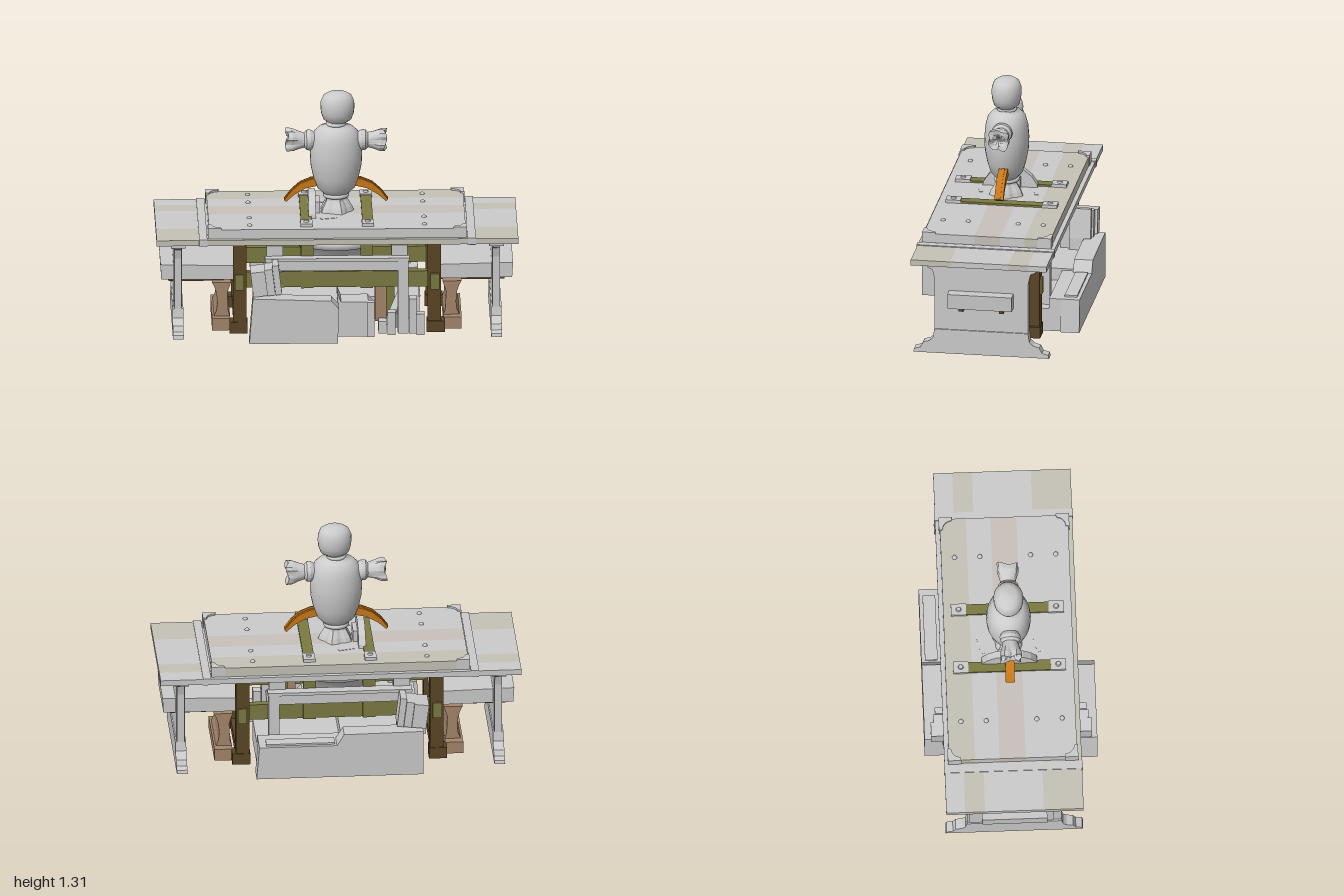
import * as THREE from 'three';

const COLORS = {
  grey: 0xcccccc, paleOlive: 0xc5c3b7, paleBrown: 0xc9c0ba,
  olive: 0x7c7a42, brown: 0xa4866c, dark: 0x5a4626, orange: 0xc87818,
};

function mat(color, flat, side = THREE.FrontSide) {
  return new THREE.MeshStandardMaterial({ color: COLORS[color], flatShading: flat, side });
}

export function createModel() {
  const root = new THREE.Group();
  root.name = 'workTable';

  const add = (name, geo, color = 'grey', flat = true, side) => {
    const m = new THREE.Mesh(geo, mat(color, flat, side));
    m.name = name;
    root.add(m);
    return m;
  };
  // Box given by its min and max on each axis
  const box = (name, x0, x1, y0, y1, z0, z1, color) => {
    const m = add(name, new THREE.BoxGeometry(x1 - x0, y1 - y0, z1 - z0), color);
    m.position.set((x0 + x1) / 2, (y0 + y1) / 2, (z0 + z1) / 2);
    return m;
  };
  // Outline in x, y extruded from z0 to z1
  const slab = (name, pts, z0, z1, color) => {
    const shape = new THREE.Shape(pts.map(p => new THREE.Vector2(p[0], p[1])));
    const geo = new THREE.ExtrudeGeometry(shape, { depth: z1 - z0, bevelEnabled: false });
    geo.translate(0, 0, z0);
    return add(name, geo, color);
  };
  // Outline in z, y extruded from x0 to x1
  const sideSlab = (name, pts, x0, x1, color) => {
    const m = slab(name, pts.map(p => [-p[0], p[1]]), x0, x1, color);
    m.geometry.rotateY(Math.PI / 2);
    return m;
  };
  const lathe = (name, pts, seg, flat = false) =>
    add(name, new THREE.LatheGeometry(pts.map(p => new THREE.Vector2(...p)), seg), 'grey', flat, THREE.DoubleSide);
  const mirrorZ = pts => [...pts, ...pts.slice().reverse().map(p => [-p[0], p[1]])];
  const both = [-1, 1];
  // Box mirrored to either side in x
  const pair = (name, x0, x1, ...rest) => {
    box(name, x0, x1, ...rest);
    box(name, -x1, -x0, ...rest);
  };

  // Table top planks
  [[-.38, -.275, 'grey'], [-.275, -.165, 'paleOlive'], [-.165, .16, 'grey'], [.16, .38, 'paleOlive']]
    .forEach(([a, b, c]) => box('tablePlank', -1, 1, .54, .572, a, b, c));
  [[-.355, -.21, 'paleOlive'], [-.21, -.075, 'grey'], [-.075, .07, 'paleBrown'], [.07, .355, 'grey']]
    .forEach(([a, b, c]) => box('upperPlank', -.71, .71, .572, .625, a, b, c));
  pair('crossBatten', .72, .765, .538, .577, -.384, .384);
  pair('battenUnderside', .72, .765, .522, .54, -.335, .335);

  // Corner brackets, rivets and straps
  const bracket = new THREE.Shape();
  bracket.moveTo(0, 0);
  bracket.lineTo(.075, 0);
  bracket.lineTo(.07, .02);
  bracket.quadraticCurveTo(.025, .025, .02, .07);
  bracket.lineTo(0, .075);
  for (const sx of both) for (const sz of both) {
    const corner = add('cornerBracket', new THREE.ExtrudeGeometry(bracket, { depth: .06, bevelEnabled: false, curveSegments: 5 }));
    // turn each bracket so that its right angle sits on the board corner
    const turn = sx > 0 ? (sz > 0 ? Math.PI : Math.PI / 2) : (sz > 0 ? -Math.PI / 2 : 0);
    corner.rotation.set(Math.PI / 2, 0, turn);
    corner.position.set(sx * .716, .635, sz * .361);
    for (const z of [.14, .28]) {
      const rivet = add('rivet', new THREE.SphereGeometry(.014, 10, 4, 0, Math.PI * 2, 0, Math.PI / 2), 'grey', false);
      rivet.position.set(sx * .483, .623, sz * z);
    }
    const x = sx * .17, z = sz * .27;
    box('strapCap', x - .033, x + .033, .625, .643, z - .042, z + .042);
    const bolt = add('strapBolt', new THREE.CylinderGeometry(.012, .016, .01, 10));
    bolt.position.set(x, .647, z);
  }
  pair('topStrap', .14, .2, .62, .636, -.3, .3, 'olive');
  for (const s of both) {
    const slot = box('slot', -.09, 0, .62, .627, s * .155 - .01, s * .155 + .01);
    slot.rotation.y = .25;
  }

  // End trestles with feet, through beams and the rails beneath them
  const panel = mirrorZ([[.345, .54], [.345, .52], [.31, .515], [.3, .495], [.275, .485], [.262, .43], [.262, .08]]);
  const foot = mirrorZ([[.262, .14], [.27, .09], [.29, .07], [.325, .06], [.34, .03], [.375, .02], [.38, 0]]);
  for (const s of both) {
    const c = s * .88;
    sideSlab('trestlePanel', panel, c - .02, c + .02);
    sideSlab('trestleFoot', foot, c - .03, c + .03);
    box('trestleInset', c - .023, c + .023, .14, .52, -.25, .22);
    slab('throughBeam', [[s * .52, .28], [s * .97, .285], [s * .975, .37], [s * .52, .36]], -.18, .18);
  }
  pair('trestleCap', .84, .92, .515, .54, -.34, .34);
  for (const z of [-.115, .11]) pair('beamRail', .57, .93, .257, .285, z - .012, z + .012, 'dark');

  // Dark posts, sills and curved beam supports
  pair('postSill', .51, .57, .005, .06, -.26, .26, 'dark');
  for (const sz of both) {
    const z = sz * .238;
    pair('post', .5, .575, 0, .51, z - .037, z + .037, 'dark');
    pair('postFoot', .495, .595, 0, .065, z - .042, z + .042, 'dark');
    pair('postPeg', .515, .565, .25, .34, sz * .275 - .012, sz * .275 + .012, 'olive');
  }
  for (const s of both) {
    slab('curvedSupport', [[.585, .262], [.69, .262], [.678, .24], [.665, .2], [.66, .14], [.665, .1], [.68, .065],
      [.59, .065], [.6, .1], [.605, .2]].map(p => [s * p[0], p[1]]), -.17, .17, 'brown');
  }
  pair('supportFoot', .59, .69, 0, .068, -.22, .22, 'brown');

  // Olive under-frame
  for (const s of both) {
    box('sideRail', -.5, .5, .255, .345, s * .225 - .02, s * .225 + .02, 'olive');
    pair('hangingStrap', .13, .2, .25, .54, s * .235 - .015, s * .235 + .015, 'olive');
    pair('bearerBlock', .3, .39, .44, .5, s * .23 - .03, s * .23 + .03);
  }
  pair('crossBearer', .13, .2, .45, .54, -.25, .25, 'olive');
  box('olivePost', .26, .32, .06, .36, .1, .16, 'olive');
  box('brownPost', .21, .275, .05, .36, .18, .23, 'brown');
  box('topRunner', -.4, .4, .5, .54, -.22, .22);

  // Round tub under the table
  lathe('tub', [[.001, .3], [.08, .31], [.15, .345], [.2, .41], [.22, .46], [.25, .465], [.25, .5], [.2, .52]], 28);

  // Low chests on the floor, joined by a lower base
  slab('frontChest', [[-.49, 0], [0, 0], [.005, .2], [-.035, .245], [-.47, .26]], .375, .475);
  box('chestBase', -.45, 0, 0, .2, -.38, .375);
  box('rearBase', 0, .46, 0, .13, -.38, .03);
  slab('backChest', [[-.45, 0], [.475, 0], [.46, .19], [.03, .19], [-.01, .255], [-.45, .26]], -.48, -.375);
  box('chestLid', .04, .42, .185, .2, -.46, -.39);
  box('chestShelf', -.01, .46, .13, .19, -.45, -.31);

  // Rail frames inside both long sides with leaning books beside them
  for (const s of both) {
    const z = s * .275;
    box('frameRail', -.39, .39, .365, .425, z - .022, z + .022);
    box('frameTop', -.4, .4, .42, .438, z - .03, z + .03);
    pair('frameLeg', .335, .395, 0, .42, z - .028, z + .028);
    [[-.435, .08, .14, .445], [-.375, .045, .15, .43], [-.335, .035, .17, .42]].forEach(([x, w, h, depth]) => {
      const zc = s * (.3 + depth) / 2, half = (depth - .3) / 2;
      const book = box('leaningBook', x - w / 2, x + w / 2, .265, .265 + h, zc - half, zc + half);
      book.rotation.z = .12;
    });
    box('bookShelf', -.47, -.31, .2, .275, s * .34 - .04, s * .34 + .04);
  }

  // Steps and oddments beside the front chest
  box('stepBlock', 0, .185, 0, .15, .2, .35);
  slab('stepTop', [[0, .15], [.2, .15], [.2, .165], [.17, .2], [.02, .2], [0, .25]], .2, .35);
  box('stepPost', .165, .205, 0, .2, .32, .36);
  [[.25, .07, .27], [.3, .13, .3], [.42, .2, .27], [.46, .12, .3]]
    .forEach(([x, h, z]) => box('smallBlock', x - .022, x + .022, 0, h, z - .03, z + .03));
  const wedge = add('leaningWedge', new THREE.CylinderGeometry(.02, .05, .2, 4));
  wedge.position.set(.33, .12, .22);
  wedge.rotation.z = -.25;

  // Bird figure: fluted skirt, collar, body and head
  const skirt = lathe('skirt', [[.09, .622], [.08, .65], [.058, .69], [.055, .72]], 20, true);
  const sp = skirt.geometry.attributes.position;
  for (let i = 0; i < sp.count; i++) {
    const k = 1 + .12 * Math.cos(5 * Math.atan2(sp.getZ(i), sp.getX(i)));
    sp.setX(i, sp.getX(i) * k);
    sp.setZ(i, sp.getZ(i) * k);
  }
  const ring = (name, r, tube, y) => {
    const m = add(name, new THREE.TorusGeometry(r, tube, 8, 24), 'grey', false);
    m.rotation.x = Math.PI / 2;
    m.position.y = y;
  };
  ring('collar', .06, .013, .715);
  ring('neckRing', .046, .01, 1.125);
  const body = lathe('body', [[.001, .715], [.06, .725], [.09, .76], [.108, .82], [.121, .89], [.124, .96],
    [.118, 1.03], [.105, 1.08], [.08, 1.108], [.048, 1.12], [.045, 1.15]], 28);
  body.scale.x = 1.17;
  const head = lathe('head', [[.001, 1.13], [.045, 1.135], [.07, 1.155], [.08, 1.19], [.083, 1.22], [.082, 1.255],
    [.07, 1.288], [.045, 1.305], [.001, 1.31]], 24);
  head.scale.x = 1.13;
  head.position.x = .008;

  // Ruffled wings: rings that turn wavy toward the tip
  for (const s of both) {
    const geo = new THREE.LatheGeometry([[.045, 0], [.058, .025], [.056, .045], [.042, .058], [.05, .09], [.061, .125],
      [.06, .155], [.035, .15], [.001, .12]].map(p => new THREE.Vector2(...p)), 24);
    const p = geo.attributes.position;
    for (let i = 0; i < p.count; i++) {
      const t = Math.max(0, (p.getY(i) - .06) / .1), a = Math.atan2(p.getZ(i), p.getX(i)) + .7;
      const k = 1 + t * (.16 * Math.cos(4 * a) + .08 * Math.sin(7 * a));
      p.setXYZ(i, p.getX(i) * k, p.getY(i) + t * .01 * Math.sin(3 * a), p.getZ(i) * k);
    }
    const wing = add('wing', geo, 'grey', true, THREE.DoubleSide);
    wing.rotation.z = -s * Math.PI / 2;
    wing.position.set(s * .118, 1.032, .004);
  }

  // Orange curved tails and the arch beside the figure
  const tail = [[.09, .815], [.14, .81], [.2, .785], [.25, .74], [.287, .69], [.277, .68], [.23, .722], [.17, .757], [.09, .775]];
  for (const s of both) {
    slab('tail', tail.map(p => [s * p[0], p[1]]), -.025, .025, 'orange');
    slab('tailRidge', tail.map(p => [s * p[0], p[1] + .004]), -.01, .01, 'orange');
  }
  sideSlab('arch', mirrorZ([[.155, .62], [.15, .645], [.12, .69], [.075, .725], [.03, .738]]), -.155, -.115);
  box('archBlock', -.115, -.09, .62, .69, -.06, .06);

  return root;
}
